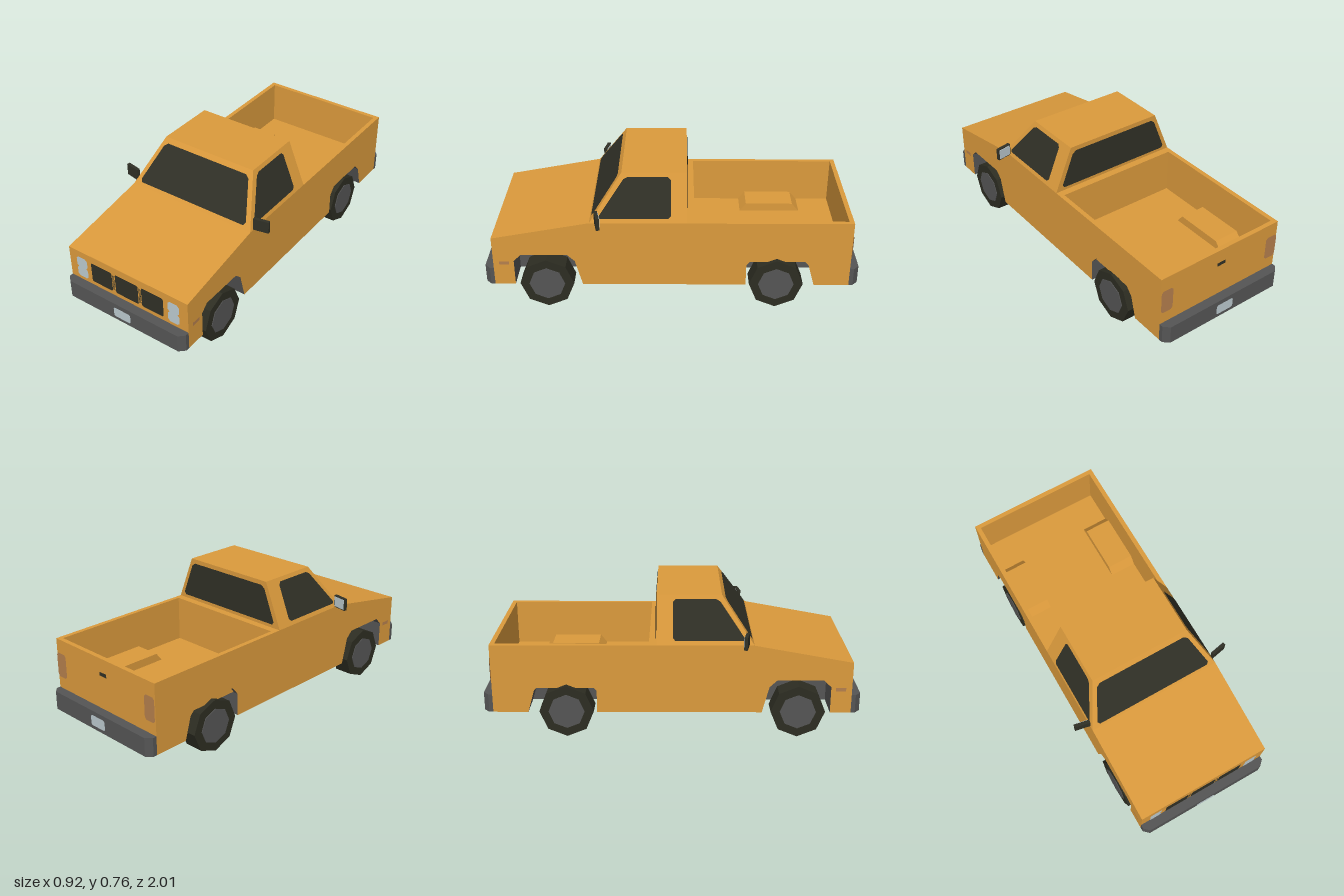
import * as THREE from 'three';

const mat = (name, color) => {
  const m = new THREE.MeshStandardMaterial({ color, flatShading: true, side: THREE.DoubleSide });
  m.name = name;
  return m;
};

export function createModel() {
  const model = new THREE.Group();
  model.name = 'pickupTruck';
  const paint = mat('orangePaint', 0xdb9a3c);
  const dark = mat('darkGlass', 0x303026);
  const rubber = mat('tyreRubber', 0x2d2d22);
  const grey = mat('greyTrim', 0x555555);
  const pale = mat('paleLamp', 0xbccacf);
  const amber = mat('dullAmber', 0xb57f4d);

  const add = (name, geometry, material, parent = model) => {
    const mesh = new THREE.Mesh(geometry, material);
    mesh.name = name;
    parent.add(mesh);
    return mesh;
  };

  // Flat polygon: 2D outline placed in space by map(u, v), facing the direction out
  const face = (name, material, pts, map, out, hole) => {
    const shape = new THREE.Shape(pts.map(p => new THREE.Vector2(...p)));
    if (hole) shape.holes.push(new THREE.Path(hole.map(p => new THREE.Vector2(...p))));
    let g = new THREE.ShapeGeometry(shape).toNonIndexed();
    const pos = g.attributes.position;
    for (let i = 0; i < pos.count; i++) pos.setXYZ(i, ...map(pos.getX(i), pos.getY(i)));
    g.computeVertexNormals();
    const n = new THREE.Vector3().fromBufferAttribute(g.attributes.normal, 0);
    if (n.dot(new THREE.Vector3(...out)) < 0) {
      for (let i = 0; i < pos.count; i += 3) {
        const a = new THREE.Vector3().fromBufferAttribute(pos, i);
        const b = new THREE.Vector3().fromBufferAttribute(pos, i + 1);
        pos.setXYZ(i, b.x, b.y, b.z);
        pos.setXYZ(i + 1, a.x, a.y, a.z);
      }
      g.computeVertexNormals();
    }
    return add(name, g, material);
  };
  const rect = (a, b, c, d) => [[a, b], [c, b], [c, d], [a, d]];
  const atX = x => (z, y) => [x, y, z];
  const atY = y => (x, z) => [x, y, z];
  const atZ = z => (x, y) => [x, y, z];

  // Clip the corners of an outline
  const clip = (pts, c) => pts.flatMap((p, i) => [pts.at(i - 1), pts[(i + 1) % pts.length]].map(q => {
    const l = Math.hypot(q[0] - p[0], q[1] - p[1]);
    return [p[0] + (q[0] - p[0]) * c / l, p[1] + (q[1] - p[1]) * c / l];
  }));

  // Strip following a (z, y) path between two x positions
  const strip = (name, material, path, x0, x1, up) => {
    for (let i = 0; i + 1 < path.length; i++) {
      const [[z0, y0], [z1, y1]] = [path[i], path[i + 1]];
      const n = [0, Math.abs(z1 - z0), (y1 - y0) * Math.sign(z0 - z1 || 1) * (z0 === z1 ? 0 : 1)];
      const out = z0 === z1 ? [0, 0, up] : n.map(v => v * up);
      face(name, material, rect(x0, 0, x1, 1),
        (x, t) => [x, y0 + (y1 - y0) * t, z0 + (z1 - z0) * t], out);
    }
  };

  const W = 0.38, B = 0.142, T = 0.52, IN = 0.21, FLOOR = 0.27;
  const frontArch = [[0.84, B], [0.84, 0.287], [0.80, 0.325], [0.555, 0.325], [0.515, 0.287], [0.478, B]];
  const rearArch = [[-0.397, B], [-0.397, 0.265], [-0.435, 0.31], [-0.685, 0.31], [-0.728, 0.265], [-0.763, B]];

  // Body shell
  const sideOutline = [[0.95, B], [0.95, 0.425], [0.43, T], [-0.95, T], [-0.95, B],
    ...[...rearArch].reverse(), ...[...frontArch].reverse()];
  for (const s of [1, -1]) face('bodySide', paint, sideOutline, atX(s * W), [s, 0, 0]);
  face('frontPanel', paint, rect(-W, B, W, 0.425), atZ(0.95), [0, 0, 1]);
  face('tailgate', paint, rect(-W, B, W, T), atZ(-0.95), [0, 0, -1]);
  strip('hood', paint, [[0.95, 0.425], [0.43, T]], -W, W, 1);

  // Underside, notched for the wheel wells
  const notch = s => [[s * W, 0.84], [s * IN, 0.84], [s * IN, 0.478], [s * W, 0.478],
    [s * W, -0.397], [s * IN, -0.397], [s * IN, -0.763], [s * W, -0.763]];
  face('underside', grey, [[W, 0.95], ...notch(1), [W, -0.95], [-W, -0.95],
    ...notch(-1).reverse(), [-W, 0.95]], atY(B), [0, -1, 0]);

  // Cargo bed
  const bx = 0.355, bz0 = -0.925, bz1 = -0.12;
  face('bedRim', paint, rect(-W, -0.95, W, -0.08), atY(T), [0, 1, 0], rect(-bx, bz0, bx, bz1));
  face('bedFloor', paint, rect(-bx, bz0, bx, bz1), atY(FLOOR), [0, 1, 0]);
  face('bedFrontWall', paint, rect(-bx, FLOOR, bx, T), atZ(bz1), [0, 0, -1]);
  face('bedRearWall', paint, rect(-bx, FLOOR, bx, T), atZ(bz0), [0, 0, 1]);
  const boxPath = [[-0.395, FLOOR], [-0.43, 0.316], [-0.70, 0.316], [-0.74, FLOOR]];

  for (const s of [1, -1]) {
    face('bedSideWall', paint, rect(bz0, FLOOR, bz1, T), atX(s * bx), [-s, 0, 0]);
    // Wheel boxes inside the bed
    strip('bedWheelBox', paint, boxPath, Math.min(s * 0.206, s * bx), Math.max(s * 0.206, s * bx), 1);
    face('bedWheelBoxSide', paint, boxPath, atX(s * 0.206), [-s, 0, 0]);
    // Wheel wells
    for (const arch of [frontArch, rearArch]) {
      strip('wheelWell', grey, arch, Math.min(s * IN, s * W), Math.max(s * IN, s * W), -1);
      face('wheelWellInner', grey, arch, atX(s * IN), [s, 0, 0]);
    }
  }

  // Cab: sides lean inwards, windscreen leans back
  const R = 0.765, lean = y => (y - T) / (R - T);
  const cabX = (s, off) => (z, y) => [s * (W - 0.1 * lean(y) + off), y, z];
  const screen = off => (x, y) => [x, y, 0.43 - 0.17 * lean(y) + off];
  const cabEnd = [[-W, T], [W, T], [0.28, R], [-0.28, R]];
  const glassEnd = clip([[-0.346, 0.54], [0.346, 0.54], [0.266, 0.742], [-0.266, 0.742]], 0.016);
  face('cabFront', paint, cabEnd, screen(0), [0, 0, 1]);
  face('cabBack', paint, cabEnd, atZ(-0.08), [0, 0, -1]);
  face('roof', paint, rect(-0.28, -0.08, 0.28, 0.26), atY(R), [0, 1, 0]);
  face('windscreen', dark, glassEnd, screen(0.005), [0, 0, 1]);
  face('rearWindow', dark, glassEnd, atZ(-0.084), [0, 0, -1]);
  for (const s of [1, -1]) {
    face('cabSide', paint, [[0.43, T], [-0.08, T], [-0.08, R], [0.26, R]], cabX(s, 0), [s, 0, 0]);
    face('sideWindow', dark, clip([[0.388, 0.543], [0.005, 0.543], [0.005, 0.745], [0.243, 0.745]], 0.014),
      cabX(s, 0.004), [s, 0, 0]);

    // Door mirrors
    const mirror = new THREE.Group();
    mirror.name = 'doorMirror';
    mirror.position.set(s * 0.418, 0.556, 0.386);
    mirror.rotation.y = s * 0.2;
    model.add(mirror);
    add('mirrorHousing', new THREE.BoxGeometry(0.086, 0.067, 0.018), dark, mirror);
    add('mirrorGlass', new THREE.BoxGeometry(0.074, 0.056, 0.004), pale, mirror).position.z = -0.01;

    // Lamps
    for (const y of [0.297, 0.358]) {
      face('headlamp', pale, clip(rect(s * 0.295 - 0.035, y - 0.032, s * 0.295 + 0.035, y + 0.032), 0.012),
        atZ(0.954), [0, 0, 1]);
    }
    face('tailLamp', amber, clip(rect(s * 0.342 - 0.036, 0.31, s * 0.342 + 0.036, 0.445), 0.012),
      atZ(-0.954), [0, 0, -1]);
    face('sideMarker', amber, rect(0.865, 0.265, 0.918, 0.285), atX(s * 0.383), [s, 0, 0]);

    // Thin grille bars
    for (const x of [0.081, 0.089]) {
      face('grilleBar', dark, rect(s * x - 0.002, 0.283, s * x + 0.002, 0.377), atZ(0.954), [0, 0, 1]);
    }

    // Wheels
    for (const z of [0.67, -0.56]) {
      const wheel = new THREE.Group();
      wheel.name = 'wheel';
      wheel.position.set(s * 0.327, 0.145, z);
      model.add(wheel);
      add('tyre', new THREE.CylinderGeometry(0.145, 0.145, 0.105, 8).rotateZ(Math.PI / 2), rubber, wheel);
      add('hub', new THREE.CylinderGeometry(0.096, 0.096, 0.006, 8).rotateZ(Math.PI / 2), grey, wheel)
        .position.x = s * 0.053;
    }
  }

  // Grille, tailgate handle
  for (const [a, b] of [[-0.232, -0.095], [-0.074, 0.074], [0.095, 0.232]]) {
    face('grillePanel', dark, clip(rect(a, 0.27, b, 0.387), 0.007), atZ(0.954), [0, 0, 1]);
  }
  face('tailgateHandle', dark, rect(-0.026, 0.428, 0.026, 0.448), atZ(-0.954), [0, 0, -1]);

  // Bumpers with clipped ends, and number plates
  for (const s of [1, -1]) {
    const outline = new THREE.Shape([[-W, 0.95], [W, 0.95], [W, 0.972], [0.35, 1], [-0.35, 1], [-W, 0.972]]
      .map(([x, z]) => new THREE.Vector2(x, -z)));
    const g = new THREE.ExtrudeGeometry(outline, { depth: 0.101, bevelEnabled: false }).rotateX(-Math.PI / 2);
    if (s < 0) g.rotateY(Math.PI);
    add(s > 0 ? 'frontBumper' : 'rearBumper', g, grey).position.y = B;
    face('numberPlate', pale, clip(rect(-0.054, 0.163, 0.054, 0.221), 0.008), atZ(s * 1.003), [0, 0, s]);
  }
  return model;
}
